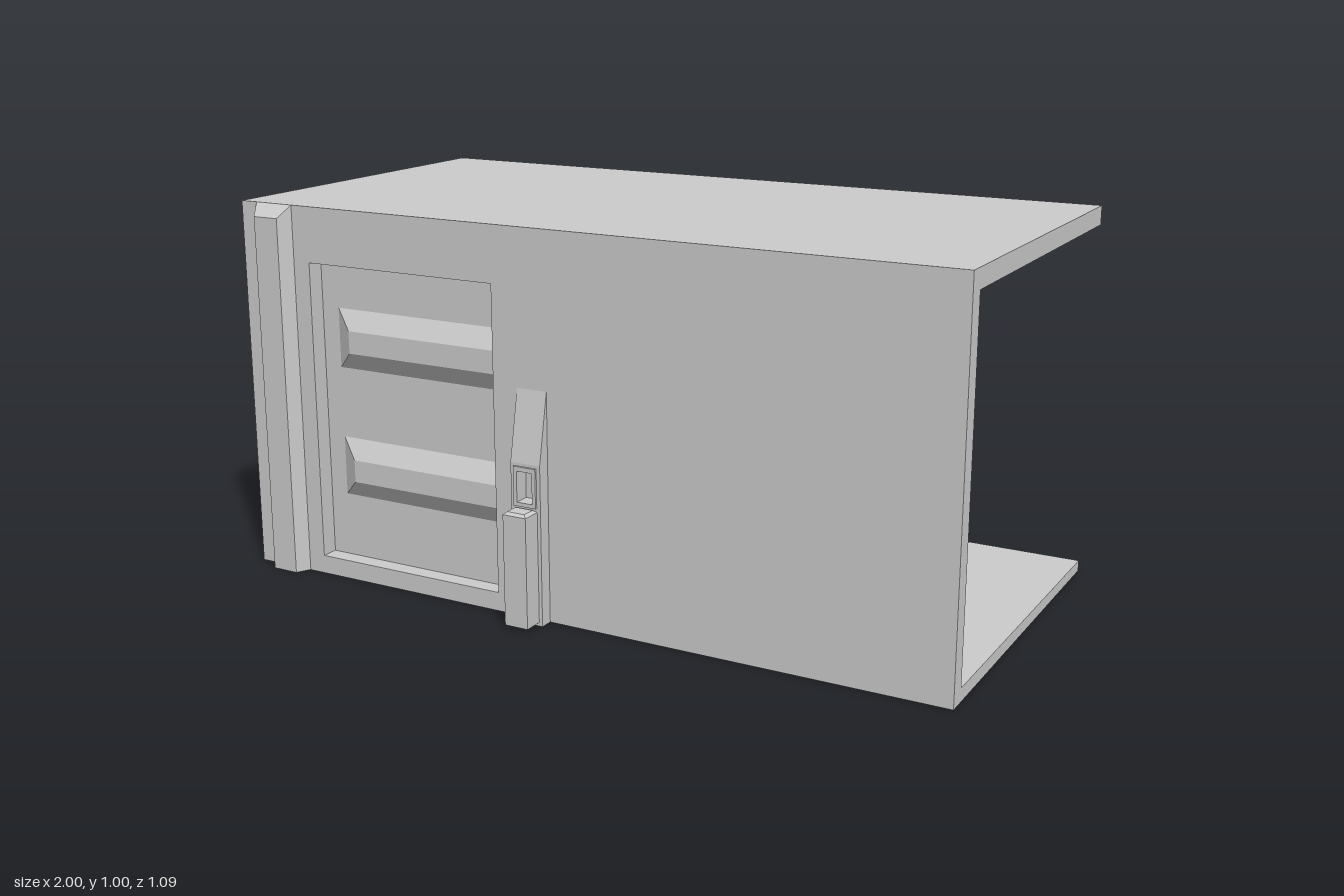
import * as THREE from 'three';

const material = new THREE.MeshStandardMaterial({ color: 0xcccccc, flatShading: true });

function add(parent, name, geometry) {
  const mesh = new THREE.Mesh(geometry, material);
  mesh.name = name;
  parent.add(mesh);
  return mesh;
}

// Box given by its limits on each axis
function block(x0, x1, y0, y1, z0, z1) {
  return new THREE.BoxGeometry(x1 - x0, y1 - y0, z1 - z0)
    .translate((x0 + x1) / 2, (y0 + y1) / 2, (z0 + z1) / 2);
}

// Block whose front (+z) face is inset on each side
function taperedBlock(x0, x1, y0, y1, z0, z1, { left = 0, right = 0, bottom = 0, top = 0 }) {
  const geometry = block(x0, x1, y0, y1, z0, z1);
  const p = geometry.attributes.position;
  for (let i = 0; i < p.count; i++) {
    if (p.getZ(i) < (z0 + z1) / 2) continue;
    p.setX(i, p.getX(i) < (x0 + x1) / 2 ? x0 + left : x1 - right);
    p.setY(i, p.getY(i) < (y0 + y1) / 2 ? y0 + bottom : y1 - top);
  }
  geometry.computeVertexNormals();
  return geometry;
}

// Rectangle with a rectangular hole, extruded along z
function frame(outer, inner, z0, z1) {
  const corners = ([x0, x1, y0, y1]) =>
    [[x0, y0], [x1, y0], [x1, y1], [x0, y1]].map(([x, y]) => new THREE.Vector2(x, y));
  const shape = new THREE.Shape(corners(outer));
  shape.holes.push(new THREE.Path(corners(inner)));
  return new THREE.ExtrudeGeometry(shape, { depth: z1 - z0, bevelEnabled: false }).translate(0, 0, z0);
}

// Side profile of [z, y] points, extruded across x
function sideProfile(points, x0, x1) {
  const shape = new THREE.Shape(points.map(([z, y]) => new THREE.Vector2(z, y)));
  return new THREE.ExtrudeGeometry(shape, { depth: x1 - x0, bevelEnabled: false })
    .rotateY(-Math.PI / 2).translate(x1, 0, 0);
}

// Door control, standing out along +z from a wall face at z = 0
function createControl(name) {
  const group = new THREE.Group();
  group.name = name;
  const w = 0.0425, slot = 0.022, d = 0.036;
  const profile = [[0, 0], [d, 0], [d, 0.42], [0, 0.6]];
  add(group, 'controlCheek', sideProfile(profile, -w, -slot));
  add(group, 'controlCheek', sideProfile(profile, slot, w));
  add(group, 'controlLowerBack', block(-slot, slot, 0, 0.32, 0, d));
  add(group, 'controlSlopedTop', sideProfile([[0, 0.4], [d, 0.4], [d, 0.42], [0, 0.6]], -slot, slot));
  add(group, 'slotFrame', frame([-0.032, 0.032, 0.31, 0.412], [-slot, slot, 0.32, 0.4], d, 0.042));
  add(group, 'controlBox', block(-0.033, 0.033, 0.01, 0.3, d, 0.09));
  // Small chamfered cap on the box
  const inset = { left: 0.008, right: 0.008, top: 0.008, bottom: 0.008 };
  add(group, 'controlBoxCap', taperedBlock(-0.033, 0.033, -0.09, -d, 0.3, 0.307, inset)
    .applyMatrix4(new THREE.Matrix4().makeRotationX(-Math.PI / 2))
    .translate(0, 0, 0));
  return group;
}

export function createModel() {
  const model = new THREE.Group();
  model.name = 'wallSection';
  const front = 0.455, inner = 0.408, back = -0.545;

  // Shell: roof, thin tapering floor and a wall with a doorway
  add(model, 'roof', block(-1, 1, 0.95, 1, back, inner));
  add(model, 'floor', sideProfile([[back, 0], [inner, 0], [inner, 0.035], [back, 0.029]], -1, 1));
  add(model, 'frontWall', frame([-1, 1, 0, 1], [-0.785, -0.22, 0.05, 0.853], inner, front));

  // Sliding door behind the wall, with raised ribs
  add(model, 'door', block(-0.8, -0.21, 0.05, 0.853, 0.382, inner));
  for (const y of [0.22, 0.57]) {
    add(model, 'doorRib', taperedBlock(-0.735, -0.13, y, y + 0.163, inner - 0.001, inner + 0.03,
      { left: 0.055, right: 0.055, bottom: 0.05, top: 0.053 }));
  }

  // Tapered pillar
  add(model, 'pillar', taperedBlock(-0.95, -0.835, 0, 1, front, 0.491,
    { left: 0.02, right: 0.02, top: 0.032 }));

  // Door controls on both sides of the wall
  const outside = createControl('outerControl');
  outside.position.set(-0.107, 0, front);
  const inside = createControl('innerControl');
  inside.position.set(-0.9, 0, inner);
  inside.rotation.y = Math.PI;
  model.add(outside, inside);

  return model;
}
